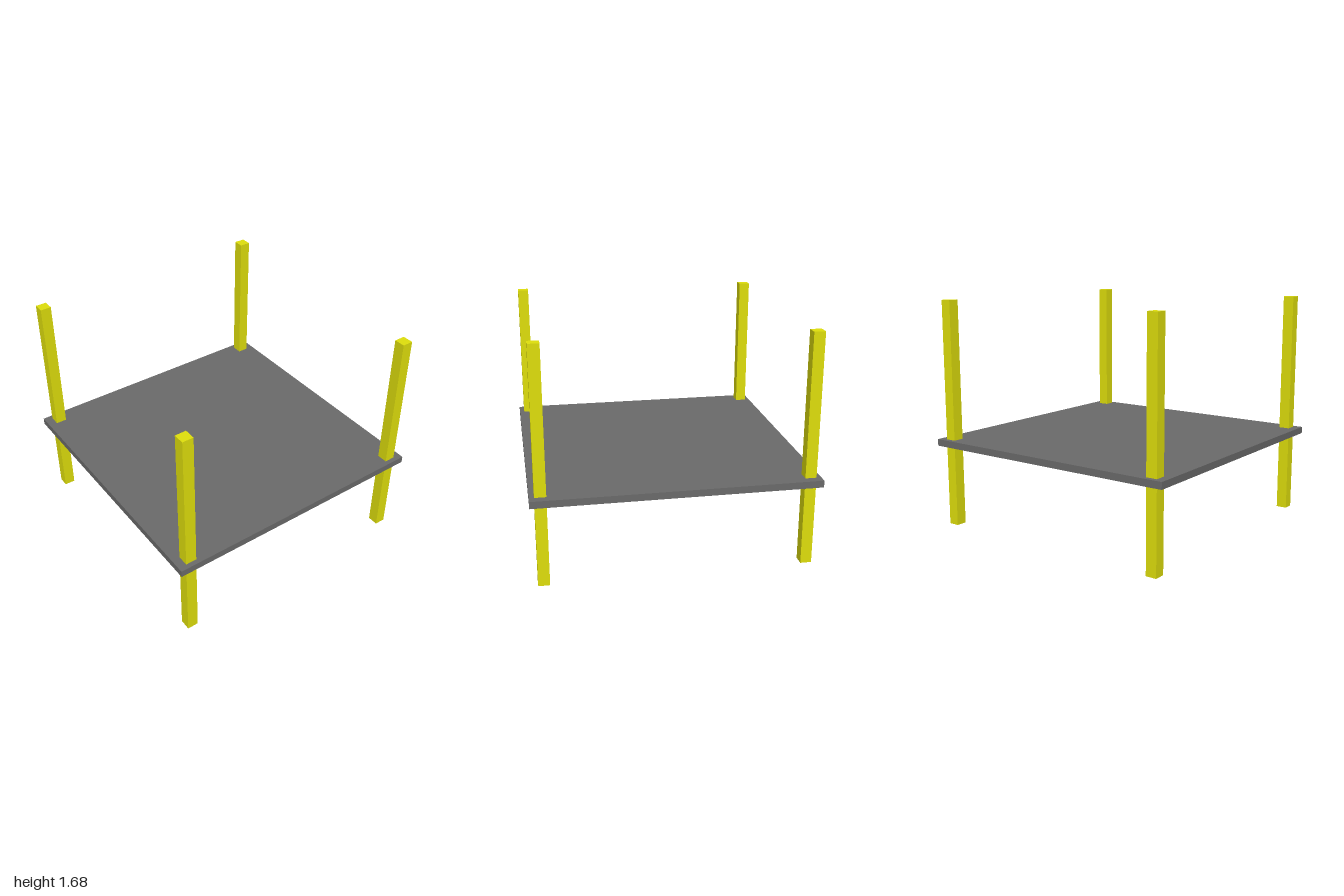
import * as THREE from 'three';

const HEIGHT = 1.68;
const POST = 0.08;

export function createModel() {
  const model = new THREE.Group();
  const grey = new THREE.MeshStandardMaterial({ color: 0x6b6b6b });
  const yellow = new THREE.MeshStandardMaterial({ color: 0xe0e00c });

  // Thin square deck
  const deck = new THREE.Mesh(new THREE.BoxGeometry(2, 0.05, 2), grey);
  deck.name = 'deck';
  deck.position.y = 0.625;
  model.add(deck);

  // Four square corner posts passing through the deck
  const postGeometry = new THREE.BoxGeometry(POST, HEIGHT, POST);
  for (const [side, x] of [['Left', 0.925], ['Right', -0.925]]) {
    for (const [end, z] of [['front', 0.9], ['back', -0.9]]) {
      const post = new THREE.Mesh(postGeometry, yellow);
      post.name = `${end}${side}Post`;
      post.position.set(x, HEIGHT / 2, z);
      model.add(post);
    }
  }
  return model;
}
